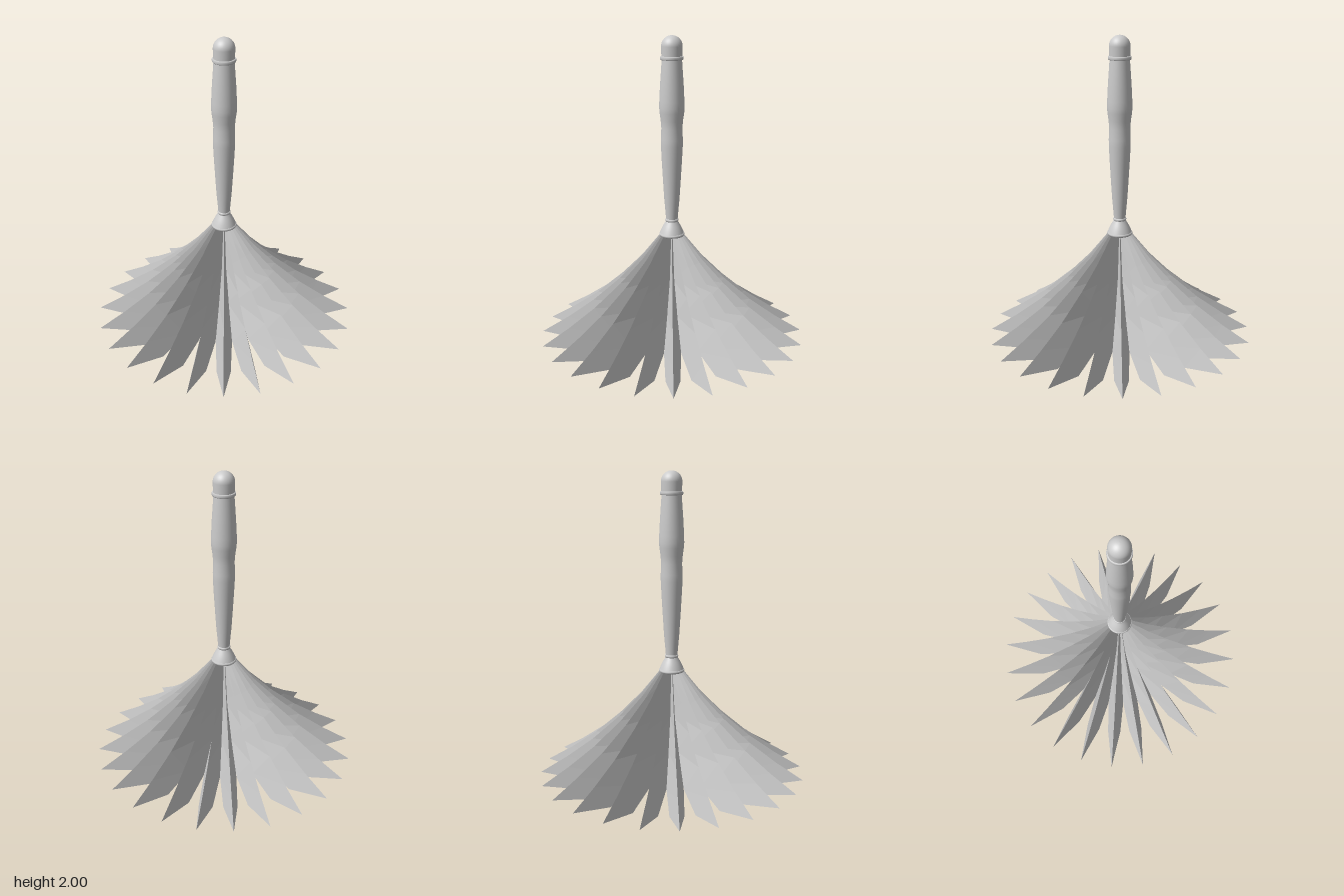
import * as THREE from 'three';

const BLADES = 24;

function material(options = {}) {
  return new THREE.MeshStandardMaterial({ color: 0xcccccc, ...options });
}

// Turned part from [radius, height] pairs, listed bottom to top
function turned(name, profile) {
  const points = profile.map(([r, y]) => new THREE.Vector2(r, y));
  const mesh = new THREE.Mesh(new THREE.LatheGeometry(points, 32), material());
  mesh.name = name;
  return mesh;
}

// Folded leaf: a ridge on top with one sloping side each way, pointing along +z
function bladeGeometry() {
  // ridge radius, ridge height, edge radius, edge height, edge half width
  const sections = [
    [0.07, 0.74, 0.02, 0.70, 0.008],
    [0.20, 0.575, 0.07, 0.45, 0.018],
    [0.345, 0.425, 0.215, 0.26, 0.036],
    [0.52, 0.272, 0.41, 0.085, 0.053],
    [0.69, 0.152, 0.60, 0.003, 0.045],
    [0.865, 0.045, 0.865, 0.045, 0],
  ];
  const positions = [];
  for (let i = 0; i < sections.length - 1; i++) {
    const a = sections[i], b = sections[i + 1];
    for (const side of [1, -1]) {
      const ridgeA = [0, a[1], a[0]], ridgeB = [0, b[1], b[0]];
      const edgeA = [side * a[4], a[3], a[2]], edgeB = [side * b[4], b[3], b[2]];
      const isTip = b[4] === 0;
      const triangles = [[ridgeA, ridgeB, edgeA]];
      if (!isTip) triangles.push([ridgeB, edgeB, edgeA]);
      for (const [p, q, r] of triangles) {
        positions.push(...(side > 0 ? [p, q, r] : [p, r, q]).flat());
      }
    }
  }
  const geometry = new THREE.BufferGeometry();
  geometry.setAttribute('position', new THREE.Float32BufferAttribute(positions, 3));
  geometry.computeVertexNormals();
  return geometry;
}

export function createModel() {
  const model = new THREE.Group();
  model.name = 'duster';

  // Handle with a swelling grip
  model.add(turned('handle', [
    [0.037, 0.83], [0.041, 0.88], [0.049, 0.97], [0.057, 1.1], [0.064, 1.22],
    [0.069, 1.32], [0.069, 1.36], [0.066, 1.43], [0.07, 1.48], [0.077, 1.53],
    [0.079, 1.56], [0.078, 1.6], [0.073, 1.7], [0.066, 1.8], [0.062, 1.86],
  ]));

  // Ring and rounded knob at the top
  model.add(turned('topRing', [
    [0.05, 1.853], [0.069, 1.853], [0.072, 1.858], [0.072, 1.87], [0.069, 1.875], [0.05, 1.875],
  ]));
  const knob = [[0.064, 1.87]];
  for (let i = 0; i <= 10; i++) {
    const a = (i / 10) * Math.PI / 2;
    knob.push([0.066 * Math.cos(a), 1.934 + 0.066 * Math.sin(a)]);
  }
  model.add(turned('knob', knob));

  // Collar that holds the blades
  model.add(turned('neckRing', [
    [0.03, 0.822], [0.04, 0.822], [0.043, 0.83], [0.04, 0.839], [0.03, 0.839],
  ]));
  model.add(turned('collar', [
    [0.078, 0.742], [0.068, 0.768], [0.054, 0.795], [0.042, 0.815], [0.037, 0.825],
  ]));
  model.add(turned('collarLip', [
    [0, 0.726], [0.078, 0.726], [0.082, 0.732], [0.082, 0.738], [0.078, 0.744], [0.06, 0.744],
  ]));

  // Ring of folded blades
  const blades = new THREE.Group();
  blades.name = 'blades';
  const geometry = bladeGeometry();
  const bladeMaterial = material({ flatShading: true, side: THREE.DoubleSide });
  for (let i = 0; i < BLADES; i++) {
    const blade = new THREE.Mesh(geometry, bladeMaterial);
    blade.name = 'blade';
    blade.rotation.y = (i / BLADES) * Math.PI * 2;
    blades.add(blade);
  }
  model.add(blades);

  return model;
}
